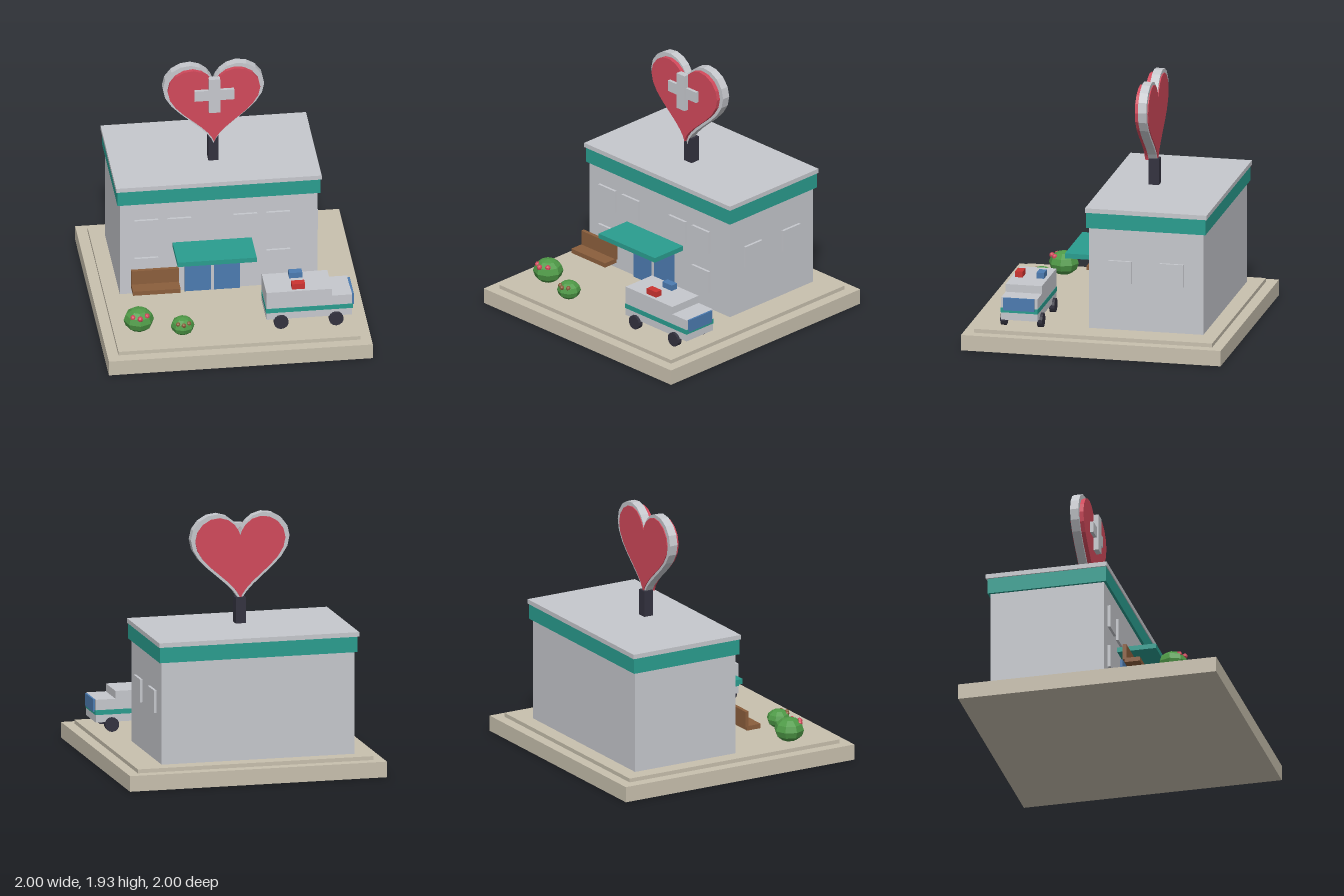
import * as THREE from 'three';

const mat = (name, color) => {
  const m = new THREE.MeshStandardMaterial({ color, flatShading: true });
  m.name = name;
  return m;
};

export function createModel() {
  const sand = mat('sand', 0xc8c0ae), grey = mat('light grey', 0xc6c8cd);
  const teal = mat('teal', 0x2a9d8f), blue = mat('blue', 0x4c7bb0);
  const brown = mat('brown', 0x8b5e3c), dark = mat('dark', 0x33323f);
  const rose = mat('rose', 0xd1495b), red = mat('red', 0xcc3330);
  const green = mat('green', 0x4f9a47);

  const group = (name, parent) => {
    const g = new THREE.Group();
    g.name = name;
    parent.add(g);
    return g;
  };
  const add = (parent, name, geo, material, x = 0, y = 0, z = 0) => {
    const m = new THREE.Mesh(geo, material);
    m.name = name;
    m.position.set(x, y, z);
    parent.add(m);
    return m;
  };
  // Box given by its limits on each axis
  const box = (parent, name, material, [x0, x1], [y0, y1], [z0, z1]) =>
    add(parent, name, new THREE.BoxGeometry(x1 - x0, y1 - y0, z1 - z0), material,
      (x0 + x1) / 2, (y0 + y1) / 2, (z0 + z1) / 2);

  const model = new THREE.Group();
  model.name = 'clinic';

  // Ground plinth
  box(model, 'plinth', sand, [-1, 1], [0, 0.12], [-1, 1]);
  box(model, 'pavement', sand, [-0.917, 0.917], [0.12, 0.15], [-0.917, 0.917]);

  // Building shell
  const building = group('building', model);
  box(building, 'walls', grey, [-0.8, 0.7], [0.15, 1], [-0.8, 0.08]);
  box(building, 'band', teal, [-0.82, 0.72], [0.935, 1.055], [-0.82, 0.1]);
  box(building, 'roof', grey, [-0.83, 0.727], [1.055, 1.09], [-0.83, 0.107]);

  // Windows: front upper row, front lower pair, side pair
  const frontWindows = [[-0.6, 0.703], [-0.35, 0.703], [0.15, 0.703], [0.4, 0.703], [-0.6, 0.373], [0.4, 0.373]];
  for (const [x, y] of frontWindows)
    box(building, 'frontWindow', grey, [x - 0.09, x + 0.09], [y - 0.088, y + 0.088], [0.07, 0.1]);
  for (const z of [-0.157, -0.557])
    box(building, 'sideWindow', grey, [0.69, 0.72], [0.515, 0.69], [z - 0.09, z + 0.09]);

  // Entrance
  box(building, 'door', blue, [-0.31, 0.11], [0.15, 0.513], [0.07, 0.1]);
  box(building, 'doorDivider', grey, [-0.112, -0.09], [0.15, 0.513], [0.08, 0.107]);
  box(building, 'canopy', teal, [-0.4, 0.2], [0.535, 0.573], [0.08, 0.38]);

  // Heart sign on a post
  const sign = group('sign', model);
  box(sign, 'post', dark, [-0.09, -0.012], [1.09, 1.29], [-0.296, -0.218]);
  const heart = (name, material, size, y, z0, z1) => {
    const points = [];
    for (let i = 0; i < 36; i++) {
      const t = (i / 36) * Math.PI * 2;
      points.push(new THREE.Vector2(
        16 * Math.sin(t) ** 3,
        13 * Math.cos(t) - 5 * Math.cos(2 * t) - 2 * Math.cos(3 * t) - Math.cos(4 * t)
      ).multiplyScalar(size));
    }
    const geo = new THREE.ExtrudeGeometry(new THREE.Shape(points), { depth: z1 - z0, bevelEnabled: false });
    add(sign, name, geo, material, -0.052, y, z0);
  };
  heart('heartRim', grey, 0.024, 1.647, -0.277, -0.212);
  heart('heartFace', rose, 0.0219, 1.643, -0.284, -0.181);
  box(sign, 'crossUpright', grey, [-0.095, -0.01], [1.55, 1.84], [-0.19, -0.142]);
  box(sign, 'crossBar', grey, [-0.202, 0.098], [1.65, 1.737], [-0.19, -0.156]);

  // Bench
  const bench = group('bench', model);
  box(bench, 'benchSeat', brown, [-0.732, -0.372], [0.285, 0.32], [0.22, 0.34]);
  box(bench, 'benchBack', brown, [-0.732, -0.372], [0.31, 0.435], [0.207, 0.235]);

  // Round bushes with berries toward the front
  const bush = (x, y, z, r, ry, berryMat, br, berries) => {
    const g = group('bush', model);
    add(g, 'leaves', new THREE.SphereGeometry(r, 8, 6), green, x, y, z).scale.y = ry / r;
    for (const [bx, by, bz] of berries)
      add(g, 'berry', new THREE.SphereGeometry(br, 7, 5), berryMat, bx, by, bz);
  };
  bush(-0.722, 0.232, 0.595, 0.115, 0.092, rose, 0.022,
    [[-0.773, 0.283, 0.657], [-0.722, 0.284, 0.686], [-0.667, 0.287, 0.652]]);
  bush(-0.402, 0.212, 0.692, 0.09, 0.071, brown, 0.018,
    [[-0.442, 0.251, 0.743], [-0.402, 0.251, 0.766], [-0.36, 0.252, 0.741]]);

  // Ambulance facing +x
  const van = group('ambulance', model);
  box(van, 'vanBody', grey, [0.23, 0.727], [0.225, 0.46], [0.438, 0.717]);
  box(van, 'cab', grey, [0.7, 0.88], [0.225, 0.4], [0.438, 0.717]);
  box(van, 'stripe', teal, [0.227, 0.884], [0.283, 0.32], [0.435, 0.72]);
  box(van, 'windscreen', blue, [0.875, 0.894], [0.303, 0.4], [0.46, 0.7]);
  box(van, 'redLight', red, [0.427, 0.527], [0.46, 0.505], [0.632, 0.69]);
  box(van, 'blueLight', blue, [0.427, 0.527], [0.46, 0.505], [0.467, 0.525]);
  const wheelGeo = new THREE.CylinderGeometry(0.055, 0.055, 0.04, 14).rotateX(Math.PI / 2);
  for (const x of [0.34, 0.757])
    for (const z of [0.437, 0.72]) add(van, 'wheel', wheelGeo, dark, x, 0.206, z);

  return model;
}
